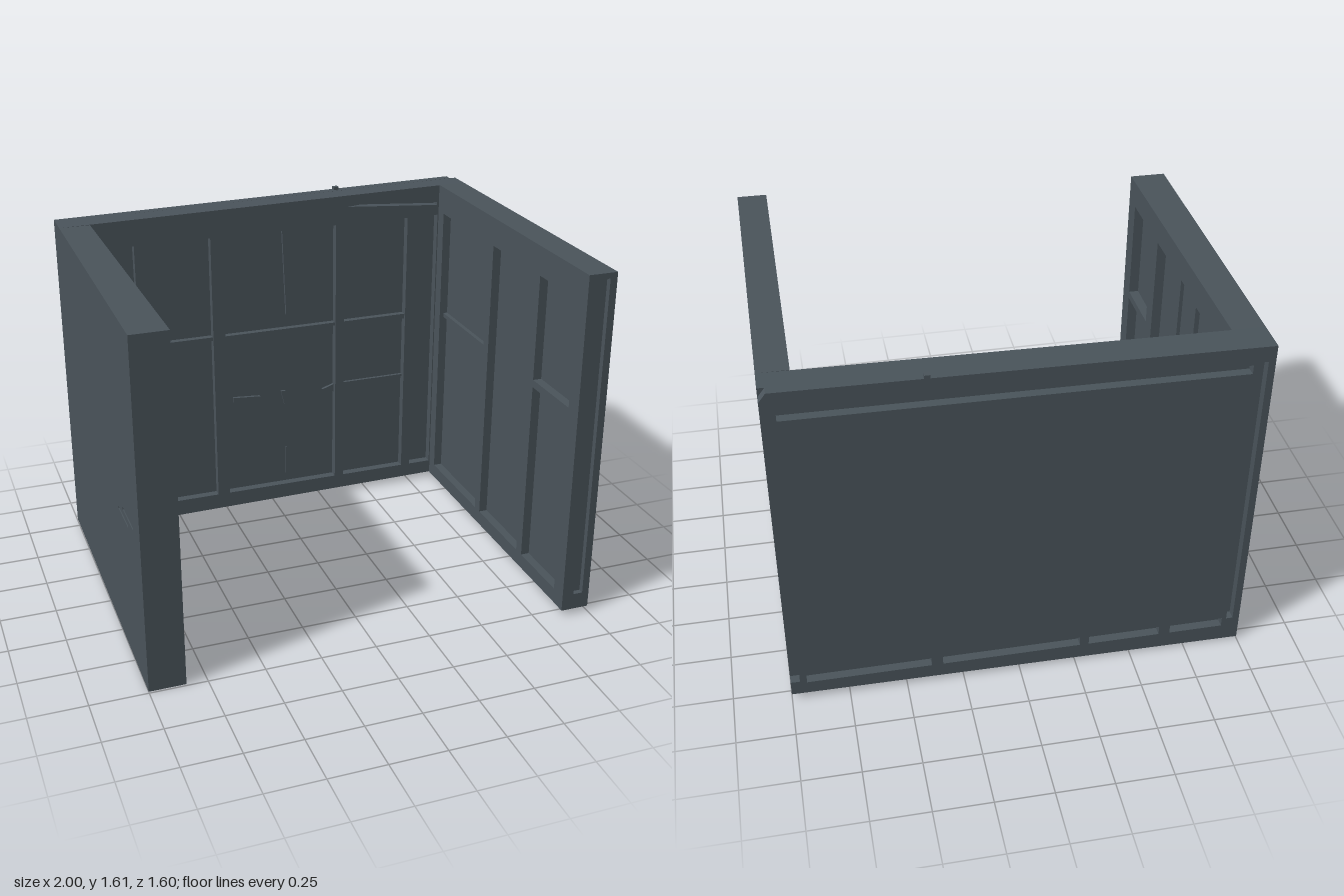
import * as THREE from 'three';

const steel = new THREE.MeshStandardMaterial({ color: 0x4a545b });
steel.name = 'dark slate';

const rect = (u0, v0, u1, v1) => [[u0, v0], [u1, v0], [u1, v1], [u0, v1]];
const toPoints = (list) => list.map(([u, v]) => new THREE.Vector2(u, v));

// One sheet of a wall: an outline with cut-outs, extruded from depth d0 to d1.
function layer(name, outline, holes, d0, d1, sideways = false) {
  const shape = new THREE.Shape(toPoints(outline));
  holes.forEach((h) => shape.holes.push(new THREE.Path(toPoints(h))));
  const [a, b] = sideways ? [-d1, -d0] : [d0, d1];
  const geo = new THREE.ExtrudeGeometry(shape, { depth: b - a, bevelEnabled: false });
  geo.translate(0, 0, a);
  if (sideways) geo.rotateY(-Math.PI / 2); // u runs along z, depth along x
  const mesh = new THREE.Mesh(geo, steel);
  mesh.name = name;
  return mesh;
}

function group(name, ...parts) {
  const g = new THREE.Group();
  g.name = name;
  g.add(...parts);
  return g;
}

function backWall() {
  const outline = [[-1, 0.01], [1, 0.03], [1, 1.6], [-1, 1.57]];
  // outer sheet, notched along the corner at +x
  const skin = [[-1, 0.01], [1, 0.03], [1, 0.1], [0.96, 0.1], [0.96, 1.56],
    [1, 1.56], [0.97, 1.6], [-1, 1.57]];
  const slots = [
    [[-0.91, 1.45], [0.94, 1.47], [0.94, 1.52], [-0.91, 1.49]],
    rect(-0.97, 0.13, -0.94, 1.5),
    ...[[-0.92, -0.68], [-0.63, -0.31], [-0.27, 0.34], [0.39, 0.93]]
      .map(([a, b]) => rect(a, 0.09, b, 0.135)),
  ];
  const bays = [[-0.84, -0.665], [-0.62, -0.3], [-0.24, 0.33], [0.375, 0.705], [0.75, 0.865]]
    .map(([a, b]) => rect(a, 0.095, b, 1.45));
  bays.push([[0.39, 1.535], [0.86, 1.5], [0.86, 1.515], [0.5, 1.545]]);
  const wall = group('backWall',
    layer('backOuterSheet', skin, slots, -0.8, -0.76),
    layer('backPanel', outline, [], -0.76, -0.7),
    layer('backFrame', outline, bays, -0.7, -0.66));

  // thin rails and seams inside the bays: outline, thickness
  const strips = [
    [rect(-0.74, 0.93, -0.665, 0.95), 0.025],
    [rect(-0.62, 0.93, -0.3, 0.948), 0.03],
    [rect(-0.24, 0.93, 0.33, 0.945), 0.03],
    [rect(0.375, 0.92, 0.705, 0.945), 0.03],
    [rect(0.375, 0.598, 0.705, 0.608), 0.015],
    [[[0.08, 1.01], [0.085, 1.01], [0.087, 1.45], [0.063, 1.45]], 0.015],
    [[[0.073, 0.14], [0.08, 0.14], [0.08, 0.29], [0.073, 0.29]], 0.01],
    [[[-0.2, 0.58], [-0.06, 0.57], [-0.06, 0.595], [-0.2, 0.605]], 0.015],
    [[[0.27, 0.585], [0.33, 0.565], [0.33, 0.605]], 0.015],
    [[[0.05, 0.605], [0.068, 0.53], [0.075, 0.605]], 0.012],
  ];
  strips.forEach(([p, t]) => wall.add(layer('backRail', p, [], -0.7, -0.7 + t)));

  // little lug on the top edge
  wall.add(layer('topLug', rect(0.36, 1.57, 0.385, 1.605), [], -0.8, -0.775));
  return wall;
}

function leftHandWall() {
  const outline = [[-0.66, 0.01], [0.74, 0], [0.74, 1.565], [-0.66, 1.57]];
  const nicks = [rect(0.34, 0.65, 0.52, 0.662), rect(0.43, 0.69, 0.62, 0.702)];
  const bays = [
    rect(0.37, 0.09, 0.65, 0.95), rect(0.37, 0.985, 0.65, 1.45),
    rect(-0.6, 0.09, 0.29, 1.45),
  ];
  const parts = [
    layer('sideOuterSheet', outline, nicks, -1, -0.992, true),
    layer('sidePanel', outline, [], -0.992, -0.9, true),
    layer('sideFrame', outline, bays, -0.9, -0.86, true),
    layer('sideHatchFrame', rect(-0.57, 0.93, -0.17, 1.43),
      [rect(-0.54, 0.97, -0.2, 1.4)], -0.9, -0.88, true),
    layer('sideRail', rect(-0.17, 0.93, 0.05, 0.955), [], -0.9, -0.875, true),
    layer('sideSeam', rect(0.02, 0.65, 0.04, 1.45), [], -0.9, -0.885, true),
    layer('sideSeam', rect(-0.15, 0.12, -0.14, 0.9), [], -0.9, -0.89, true),
  ];
  // the wall thickens slightly towards its front edge
  parts.forEach(({ geometry }) => {
    const p = geometry.attributes.position;
    for (let i = 0; i < p.count; i++) {
      p.setX(i, -1 + (p.getX(i) + 1) * (1 + 0.1 * (p.getZ(i) + 0.66)));
    }
    geometry.computeVertexNormals();
  });
  return group('sideWallMinusX', ...parts);
}

function rightHandWall() {
  const outline = rect(-0.66, 0.027, 0.775, 1.6);
  const slot = [[[-0.655, 0.095], [0.26, 0.092], [0.26, 0.142], [-0.655, 0.14]]];
  const bays = [
    rect(-0.6, 0.095, -0.1, 1.47), rect(-0.05, 0.095, 0.35, 1.47),
    rect(0.4, 0.095, 0.72, 0.95), rect(0.4, 0.985, 0.72, 1.47),
  ];
  return group('sideWallPlusX',
    layer('sideOuterSheet', outline, slot, 0.97, 1, true),
    layer('sidePanel', outline, [], 0.91, 0.97, true),
    layer('sideFrame', outline, bays, 0.87, 0.91, true),
    layer('sideRail', rect(-0.6, 0.93, -0.1, 0.95), [], 0.89, 0.91, true),
    // front edge with its long shallow groove
    layer('frontEdge', rect(0.87, 0.025, 1, 1.6),
      [[[0.925, 0.1], [0.968, 0.1], [0.968, 1.575], [0.9, 1.575], [0.9, 0.6]]], 0.775, 0.8));
}

export function createModel() {
  return group('threeSidedEnclosure', backWall(), leftHandWall(), rightHandWall());
}
